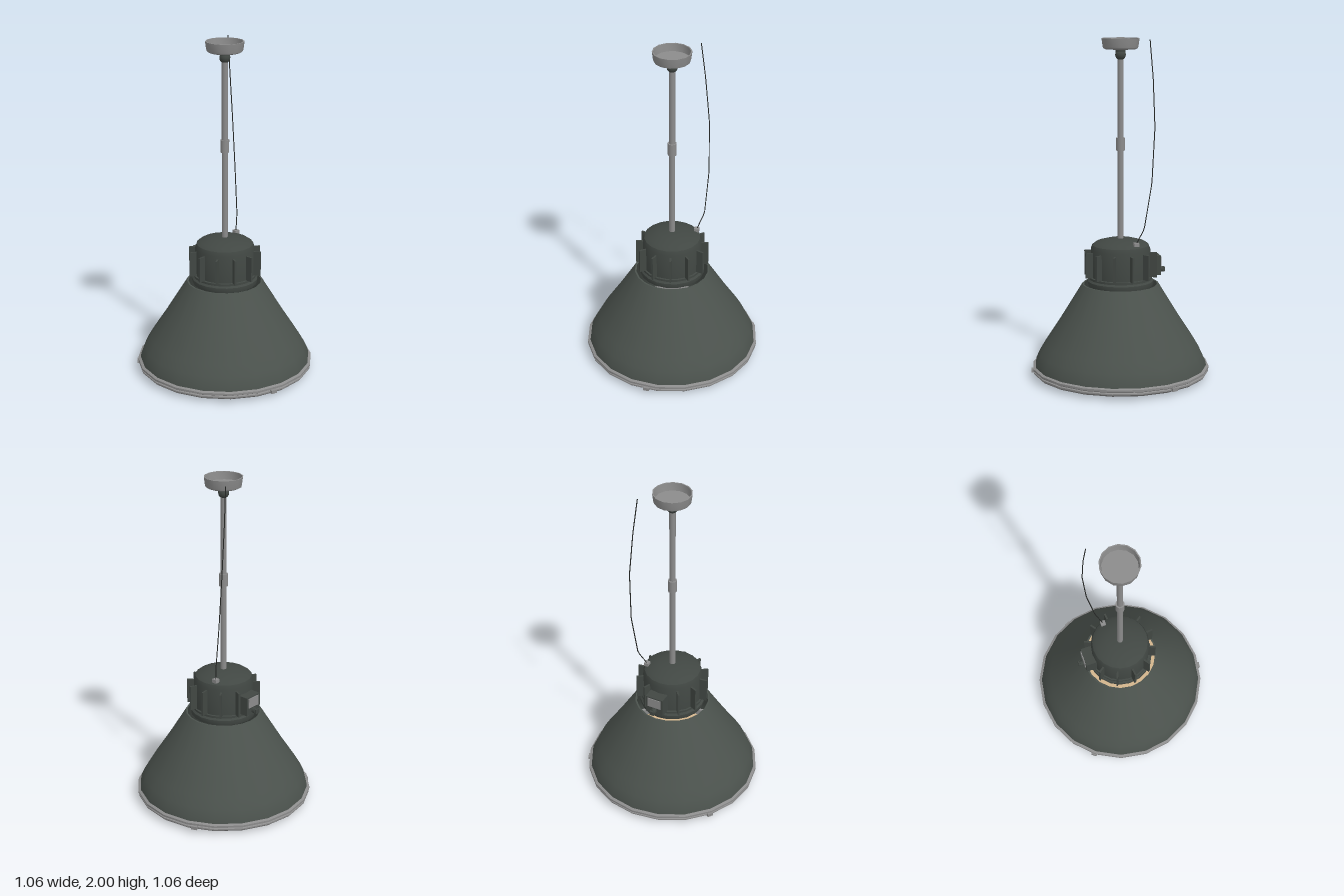
import * as THREE from 'three';
import { toCreasedNormals } from 'three/addons/utils/BufferGeometryUtils.js';

const mat = (name, color, side = THREE.FrontSide) => {
  const m = new THREE.MeshStandardMaterial({ color, side });
  m.name = name;
  return m;
};

export function createModel() {
  const green = mat('dark green enamel', 0x4b524d, THREE.DoubleSide);
  const housingGreen = mat('housing green', 0x414743);
  const steel = mat('steel grey', 0x8c8c8c);
  const tan = mat('tan lens', 0xd2b48c, THREE.DoubleSide);
  const black = mat('cable black', 0x262826);

  const root = new THREE.Group();
  root.name = 'pendantLamp';

  const add = (name, geometry, material, pos = [0, 0, 0], parent = root) => {
    const mesh = new THREE.Mesh(geometry, material);
    mesh.name = name;
    mesh.position.set(...pos);
    parent.add(mesh);
    return mesh;
  };
  const lathe = (points, sides) => toCreasedNormals(
    new THREE.LatheGeometry(points.map(([r, y]) => new THREE.Vector2(r, y)), sides), 0.6);
  const box = (w, h, d) => new THREE.BoxGeometry(w, h, d);
  const cyl = (r, h, sides = 12) => new THREE.CylinderGeometry(r, r, h, sides);

  // Flared shade, open at the top around the collar
  add('shade', lathe([[0.515, 0.05], [0.508, 0.09], [0.485, 0.14], [0.45, 0.2], [0.36, 0.338],
    [0.227, 0.555], [0.217, 0.555]], 20), green);

  // Steel rim with a groove, and the shallow lens it holds
  add('rim', lathe([[0.5, 0.02], [0.515, 0.02], [0.525, 0.03], [0.525, 0.038], [0.518, 0.042],
    [0.528, 0.048], [0.528, 0.06], [0.514, 0.066], [0.5, 0.06], [0.5, 0.02]], 20), steel);
  add('lens', lathe([[0, 0], [0.25, 0.007], [0.42, 0.015], [0.506, 0.024]], 20), tan);

  // Three clips spaced around the rim
  for (let i = 0; i < 3; i++) {
    const a = THREE.MathUtils.degToRad(97 + 120 * i);
    const clip = add('rimClip', box(0.022, 0.02, 0.035), steel,
      [0.523 * Math.cos(a), 0.035, 0.523 * Math.sin(a)]);
    clip.rotation.y = -a;
  }

  // Lamp housing with stepped collar and domed cap
  add('housing', lathe([[0, 0.545], [0.192, 0.545], [0.196, 0.56], [0.196, 0.575], [0.186, 0.585],
    [0.186, 0.598], [0.177, 0.6], [0.177, 0.765], [0.168, 0.79], [0.145, 0.806],
    [0.08, 0.824], [0, 0.83]], 20), housingGreen);

  // Cooling fins
  for (let i = 0; i < 12; i++) {
    const a = THREE.MathUtils.degToRad(83 + 30 * i);
    if (i === 6) continue; // place of the junction box
    const fin = add('coolingFin', box(0.05, 0.15, 0.011), housingGreen,
      [0.193 * Math.cos(a), 0.675, 0.193 * Math.sin(a)]);
    fin.rotation.y = -a;
  }

  // Junction box on the back, with cover plate and cable gland
  const junction = new THREE.Group();
  junction.name = 'junctionBox';
  root.add(junction);
  add('junctionBody', box(0.112, 0.115, 0.072), housingGreen, [0, 0.663, -0.198], junction);
  add('junctionCover', box(0.085, 0.06, 0.006), steel, [0, 0.683, -0.236], junction);
  const gland = add('cableGland', cyl(0.018, 0.026, 8), housingGreen, [0, 0.63, -0.245], junction);
  gland.rotation.x = Math.PI / 2;
  add('glandNut', box(0.028, 0.026, 0.014), housingGreen, [0, 0.63, -0.262], junction);

  // Suspension rod with sleeve and ball joint
  add('rod', cyl(0.018, 1.07), steel, [0, 1.355, 0]);
  add('rodSleeve', cyl(0.026, 0.075), steel, [0, 1.387, 0]);
  add('ballJoint', new THREE.SphereGeometry(0.032, 12, 8), housingGreen, [0, 1.905, 0]);
  add('ballSeat', cyl(0.03, 0.02), housingGreen, [0, 1.932, 0]);

  // Open ceiling cup
  add('ceilingCup', lathe([[0, 1.937], [0.09, 1.937], [0.103, 1.944], [0.106, 1.955], [0.112, 2],
    [0.105, 2], [0.099, 1.955], [0, 1.955]], 14), steel);

  // Power cable and its anchor on the cap
  add('cableAnchor', box(0.03, 0.022, 0.03), steel, [0.138, 0.812, -0.062]);
  const path = new THREE.CurvePath();
  const pts = [[0.138, 0.815, -0.062], [0.178, 0.91, -0.1], [0.196, 1.18, -0.14],
    [0.19, 1.5, -0.158], [0.165, 1.78, -0.153], [0.14, 1.997, -0.14]]
    .map((p) => new THREE.Vector3(...p));
  for (let i = 1; i < pts.length; i++) path.add(new THREE.LineCurve3(pts[i - 1], pts[i]));
  add('powerCable', new THREE.TubeGeometry(path, 40, 0.003, 6), black);

  return root;
}
